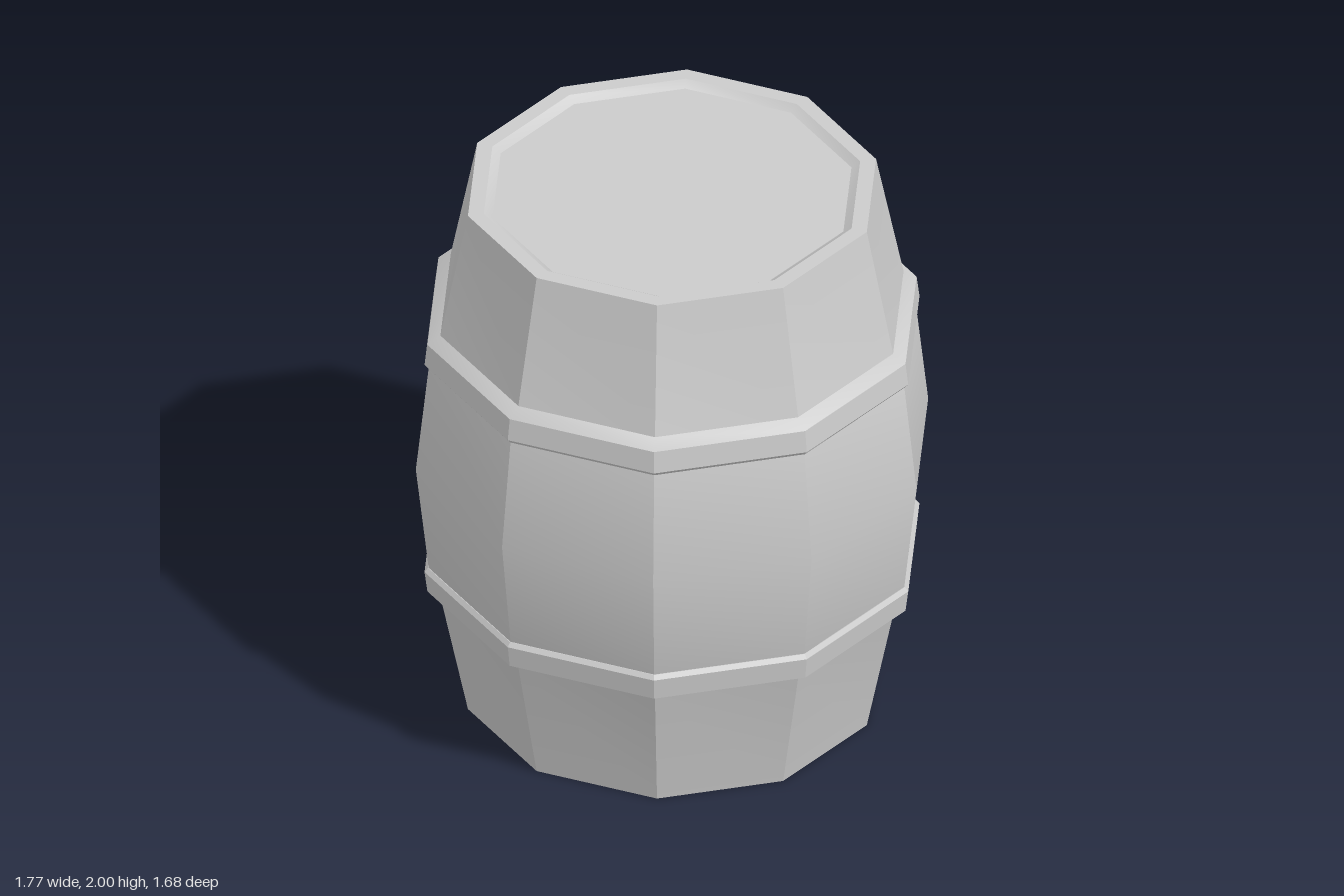
import * as THREE from 'three';
import { toCreasedNormals } from 'three/addons/utils/BufferGeometryUtils.js';

const SIDES = 10;
const material = new THREE.MeshStandardMaterial({ color: 0xcccccc });

// Ten-sided ring of a [radius, height] profile, listed bottom to top, with corners on the x axis
function turned(name, profile) {
  const points = profile.map(([r, y]) => new THREE.Vector2(r, y));
  const lathe = new THREE.LatheGeometry(points, SIDES, Math.PI / 2);
  // Sharp between staves, smooth along their bulge
  const mesh = new THREE.Mesh(toCreasedNormals(lathe, THREE.MathUtils.degToRad(25)), material);
  mesh.name = name;
  return mesh;
}

// Flip a profile about the mid height, keeping the bottom-to-top order
const flip = (profile) => profile.map(([r, y]) => [r, 2 - y]).reverse();

export function createModel() {
  const group = new THREE.Group();
  group.name = 'barrel';

  // Upper half of the staves, rim and recessed lid
  const upper = [[0.84, 1.41], [0.80, 1.53], [0.705, 2], [0.65, 2], [0.62, 1.98], [0, 1.98]];
  group.add(turned('staves', [...flip(upper), [0.885, 1], ...upper]));

  // Hoops, bevelled towards the barrel ends
  const hoop = [[0.82, 1.405], [0.843, 1.405], [0.855, 1.42], [0.845, 1.5], [0.80, 1.53], [0.79, 1.53]];
  group.add(turned('upperHoop', hoop));
  group.add(turned('lowerHoop', flip(hoop)));

  return group;
}
